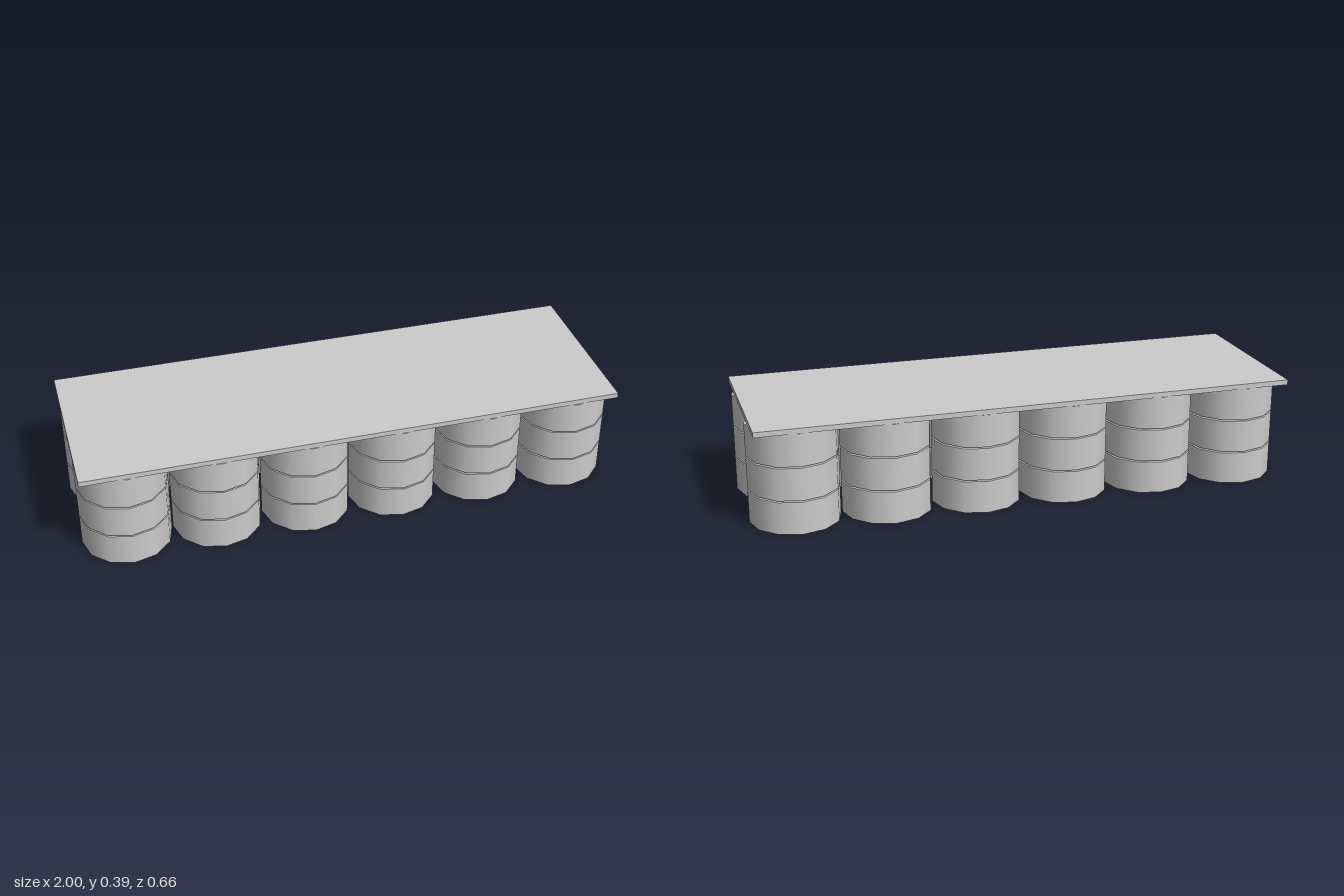
import * as THREE from 'three';

export function createModel() {
  const model = new THREE.Group();
  const grey = new THREE.MeshStandardMaterial({ color: 0xcccccc });
  grey.name = 'light grey';

  // Thin flat deck, slightly short of the drums at the +x end
  const deck = new THREE.Mesh(new THREE.BoxGeometry(1.99, 0.019, 0.65), grey);
  deck.name = 'deck';
  deck.position.set(-0.005, 0.3805, 0);
  model.add(deck);

  // Two rows of six columns, each a stack of three drums with narrow gaps
  const radius = 0.165, height = 0.12, pitch = 0.1255;
  const drumShape = new THREE.CylinderGeometry(radius, radius, height, 12);
  for (let row = 0; row < 2; row++) {
    for (let col = 0; col < 6; col++) {
      const column = new THREE.Group();
      column.name = 'drumColumn';
      column.position.set(-0.835 + col * 0.334, 0, row ? -radius : radius);
      for (let level = 0; level < 3; level++) {
        const drum = new THREE.Mesh(drumShape, grey);
        drum.name = 'drum';
        drum.position.y = height / 2 + level * pitch;
        column.add(drum);
      }
      model.add(column);
    }
  }
  return model;
}
